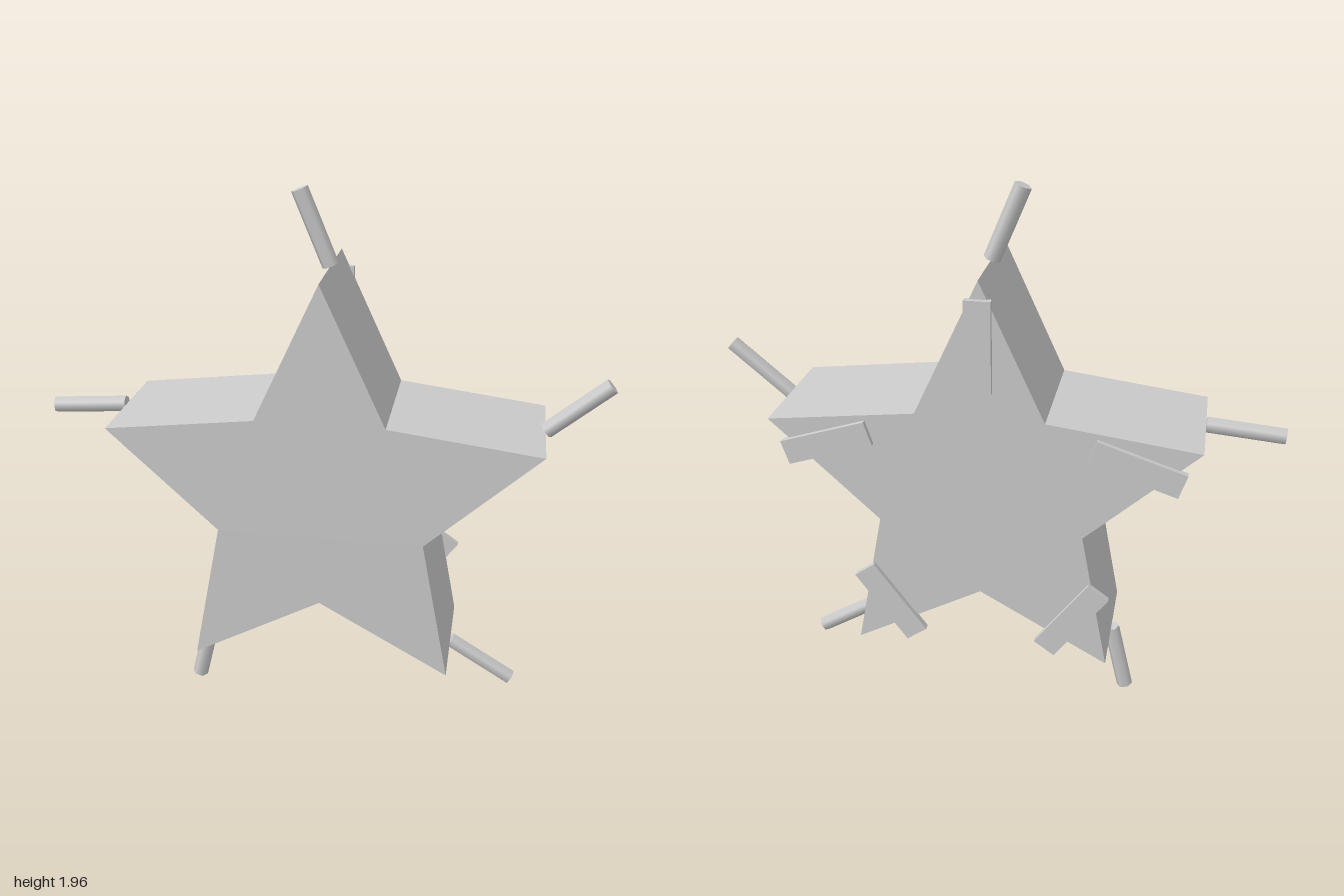
import * as THREE from 'three';

const CX = 0.02, CY = 0.913;
const OUTER = 0.787, INNER = 0.38;
const FRONT = 0.245, BACK = -0.227;
const MID = (FRONT + BACK) / 2;

// Point at a given radius and angle from the star's centre
const polar = (r, a) => new THREE.Vector2(CX + r * Math.cos(a), CY + r * Math.sin(a));

export function createModel() {
  const model = new THREE.Group();
  const flat = new THREE.MeshStandardMaterial({ color: 0xcccccc, flatShading: true });
  const smooth = new THREE.MeshStandardMaterial({ color: 0xcccccc });

  // Thick five-pointed star
  const outline = [];
  for (let i = 0; i < 10; i++) {
    outline.push(polar(i % 2 ? INNER : OUTER, Math.PI / 2 + i * Math.PI / 5));
  }
  const starGeometry = new THREE.ExtrudeGeometry(new THREE.Shape(outline), {
    depth: FRONT - BACK, bevelEnabled: false,
  });
  starGeometry.translate(0, 0, BACK);
  const star = new THREE.Mesh(starGeometry, flat);
  star.name = 'star';
  model.add(star);

  // Rod starts at its origin and runs along +y
  const rodLength = 0.271;
  const rodGeometry = new THREE.CylinderGeometry(0.03, 0.03, rodLength, 6, 1, false, Math.PI / 2);
  rodGeometry.translate(0, rodLength / 2, 0);
  const barGeometry = new THREE.BoxGeometry(0.32, 0.09, 0.024);

  for (let i = 0; i < 5; i++) {
    const angle = Math.PI / 2 + i * Math.PI * 2 / 5;

    // Rod leaning sideways from each tip
    const tip = polar(OUTER, angle);
    const rod = new THREE.Mesh(rodGeometry, smooth);
    rod.name = `tipRod${i + 1}`;
    rod.position.set(tip.x, tip.y, MID);
    rod.rotation.z = angle + THREE.MathUtils.degToRad(22.5) - Math.PI / 2;
    model.add(rod);

    // Thin bar on the back of each arm, turned opposite to the arm
    const spot = polar(0.565, angle);
    const bar = new THREE.Mesh(barGeometry, flat);
    bar.name = `backBar${i + 1}`;
    bar.position.set(spot.x, spot.y, -0.233);
    bar.rotation.z = -angle;
    model.add(bar);
  }
  return model;
}
